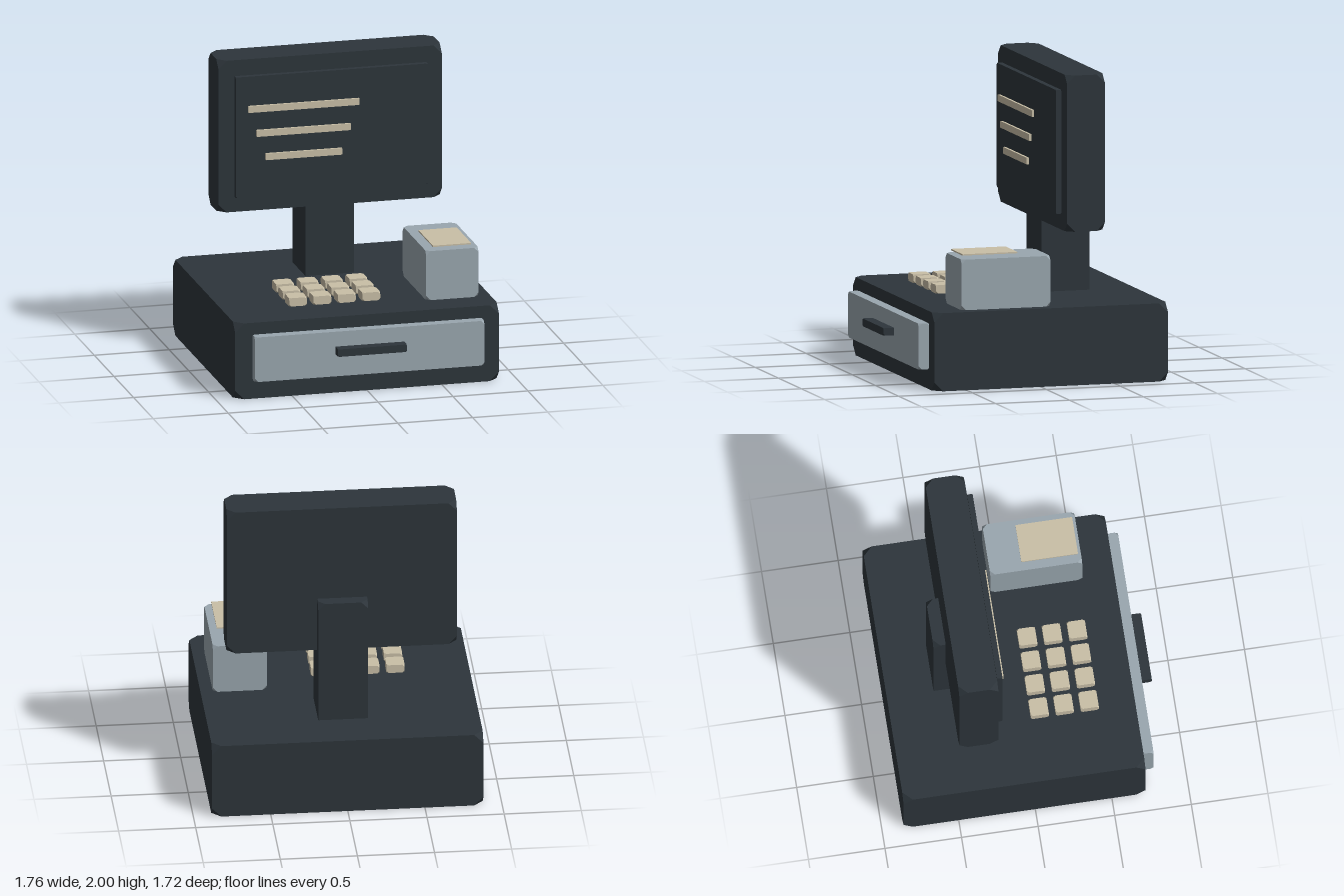
import * as THREE from 'three';
import { ConvexGeometry } from 'three/addons/geometries/ConvexGeometry.js';

const mat = (name, color) => new THREE.MeshStandardMaterial({ name, color });

// Box between two corners [x, y, z], with its eight corners cut off by c
function cutBox(min, max, c) {
  const points = [];
  for (const sx of [0, 1]) for (const sy of [0, 1]) for (const sz of [0, 1]) {
    const s = [sx, sy, sz];
    const corner = s.map((v, i) => (v ? max[i] : min[i]));
    for (let axis = 0; axis < 3; axis++) {
      const p = corner.slice();
      p[axis] += s[axis] ? -c : c;
      points.push(new THREE.Vector3(...p));
    }
  }
  return new ConvexGeometry(points);
}

export function createModel() {
  const model = new THREE.Group();
  model.name = 'cashRegister';
  const dark = mat('charcoal', 0x2d353b);
  const grey = mat('blueGrey', 0x9aa7af);
  const cream = mat('cream', 0xc9bfa7);

  const add = (name, material, min, max, cut, parent = model) => {
    const mesh = new THREE.Mesh(cutBox(min, max, cut), material);
    mesh.name = name;
    parent.add(mesh);
  };

  // Body, cash drawer and its handle
  add('base', dark, [-0.88, 0, -0.86], [0.88, 0.51, 0.72], 0.06);
  add('drawer', grey, [-0.765, 0.13, 0.71], [0.765, 0.43, 0.79], 0.022);
  add('drawerHandle', dark, [-0.23, 0.28, 0.78], [0.23, 0.33, 0.86], 0.012);

  // Stand and monitor
  add('stand', dark, [-0.162, 0.45, -0.555], [0.162, 1.35, -0.23], 0.045);
  add('monitor', dark, [-0.745, 0.98, -0.475], [0.745, 2, -0.22], 0.055);
  add('screen', dark, [-0.64, 1.085, -0.213], [0.64, 1.895, -0.177], 0.008);

  // Lines shown on the screen
  const lines = new THREE.Group();
  lines.name = 'screenLines';
  model.add(lines);
  [[-0.56, 0.18, 1.678], [-0.505, 0.122, 1.513], [-0.445, 0.065, 1.352]].forEach(([x0, x1, y]) =>
    add('screenLine', cream, [x0, y - 0.022, -0.174], [x1, y + 0.022, -0.158], 0.003, lines));

  // Keypad: three rows of four keys
  const keypad = new THREE.Group();
  keypad.name = 'keypad';
  model.add(keypad);
  for (let row = 0; row < 3; row++) for (let col = 0; col < 4; col++) {
    const x = -0.397 + col * 0.163, z = 0.095 + row * 0.163;
    add('key', cream, [x - 0.059, 0.527, z - 0.059], [x + 0.059, 0.583, z + 0.059], 0.015, keypad);
  }

  // Receipt printer with a slip of paper above it
  add('printer', grey, [0.45, 0.51, -0.09], [0.8, 0.84, 0.51], 0.03);
  add('receipt', cream, [0.5, 0.86, 0.12], [0.755, 0.869, 0.49], 0.002);

  return model;
}
